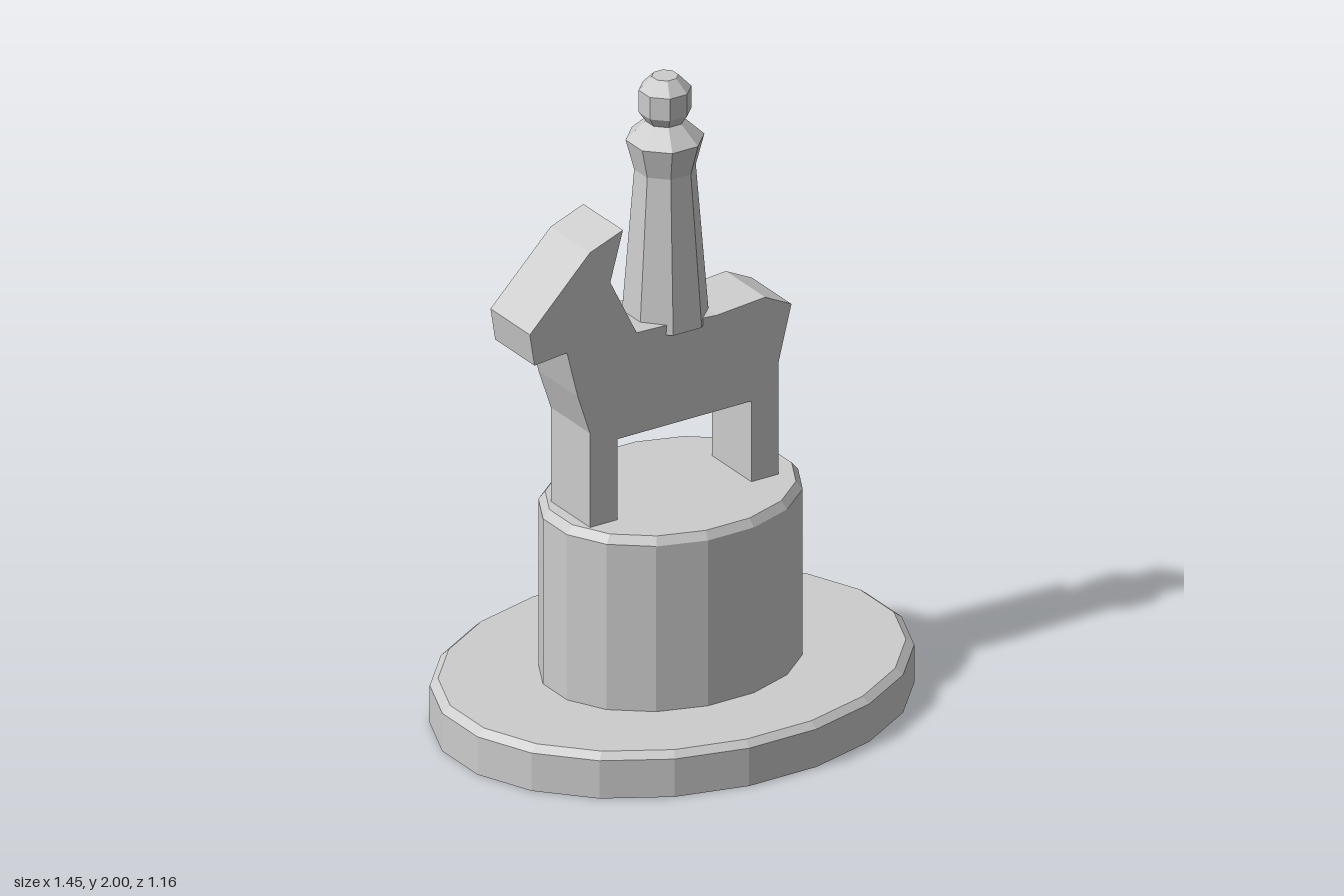
import * as THREE from 'three';

const stone = new THREE.MeshStandardMaterial({ color: 0xcccccc, flatShading: true });
stone.name = 'stone';

// Faceted solid of revolution: profile is [distance to flat side, height], bottom to top
function facetedTurning(name, profile, sides) {
  const toCorner = 1 / Math.cos(Math.PI / sides);
  const points = profile.map(([r, y]) => new THREE.Vector2(r * toCorner, y));
  const geometry = new THREE.LatheGeometry(points, sides, Math.PI / sides);
  const mesh = new THREE.Mesh(geometry, stone);
  mesh.name = name;
  return mesh;
}

export function createModel() {
  const model = new THREE.Group();
  model.name = 'equestrianFigure';

  // Oval foot with a small bevel
  const base = facetedTurning('base', [[0, 0], [0.725, 0], [0.725, 0.12], [0.7, 0.14], [0, 0.14]], 20);
  base.scale.z = 0.8;

  // Oval drum the horse stands on
  const pedestal = facetedTurning('pedestal', [[0, 0.13], [0.395, 0.13], [0.395, 0.665], [0.375, 0.69], [0, 0.69]], 16);
  pedestal.scale.z = 0.8;
  pedestal.position.x = -0.005;

  // Horse cut from a flat slab, facing -x
  const outline = [
    [-0.537, 1.254], [-0.426, 1.265], [-0.389, 1.116], [-0.347, 0.989], // muzzle, chest
    [-0.347, 0.685], [-0.254, 0.685], [-0.254, 0.946], // front leg
    [0.204, 0.946], [0.204, 0.685], [0.296, 0.685], // belly, hind leg
    [0.296, 1.042], [0.341, 1.219], [0.251, 1.264], // rump
    [0.085, 1.25], [-0.1, 1.264], [-0.188, 1.267], // back
    [-0.278, 1.45], [-0.235, 1.605], [-0.347, 1.563], [-0.553, 1.356], // neck, ear, forehead
  ];
  const thickness = 0.206;
  const slab = new THREE.ExtrudeGeometry(
    new THREE.Shape(outline.map(([x, y]) => new THREE.Vector2(x, y))),
    { depth: thickness, bevelEnabled: false }
  );
  slab.translate(0, 0, -thickness / 2);
  const horse = new THREE.Mesh(slab, stone);
  horse.name = 'horse';

  // Eight-sided rider: robe with shoulders, then the head
  const rider = new THREE.Group();
  rider.name = 'rider';
  rider.add(
    facetedTurning('riderBody', [[0, 1.233], [0.118, 1.233], [0.083, 1.71], [0.106, 1.805], [0.052, 1.86], [0, 1.86]], 8),
    facetedTurning('riderHead', [[0, 1.857], [0.05, 1.857], [0.071, 1.89], [0.071, 1.96], [0.036, 2], [0, 2]], 8)
  );
  rider.position.x = -0.024;

  model.add(base, pedestal, horse, rider);
  return model;
}
